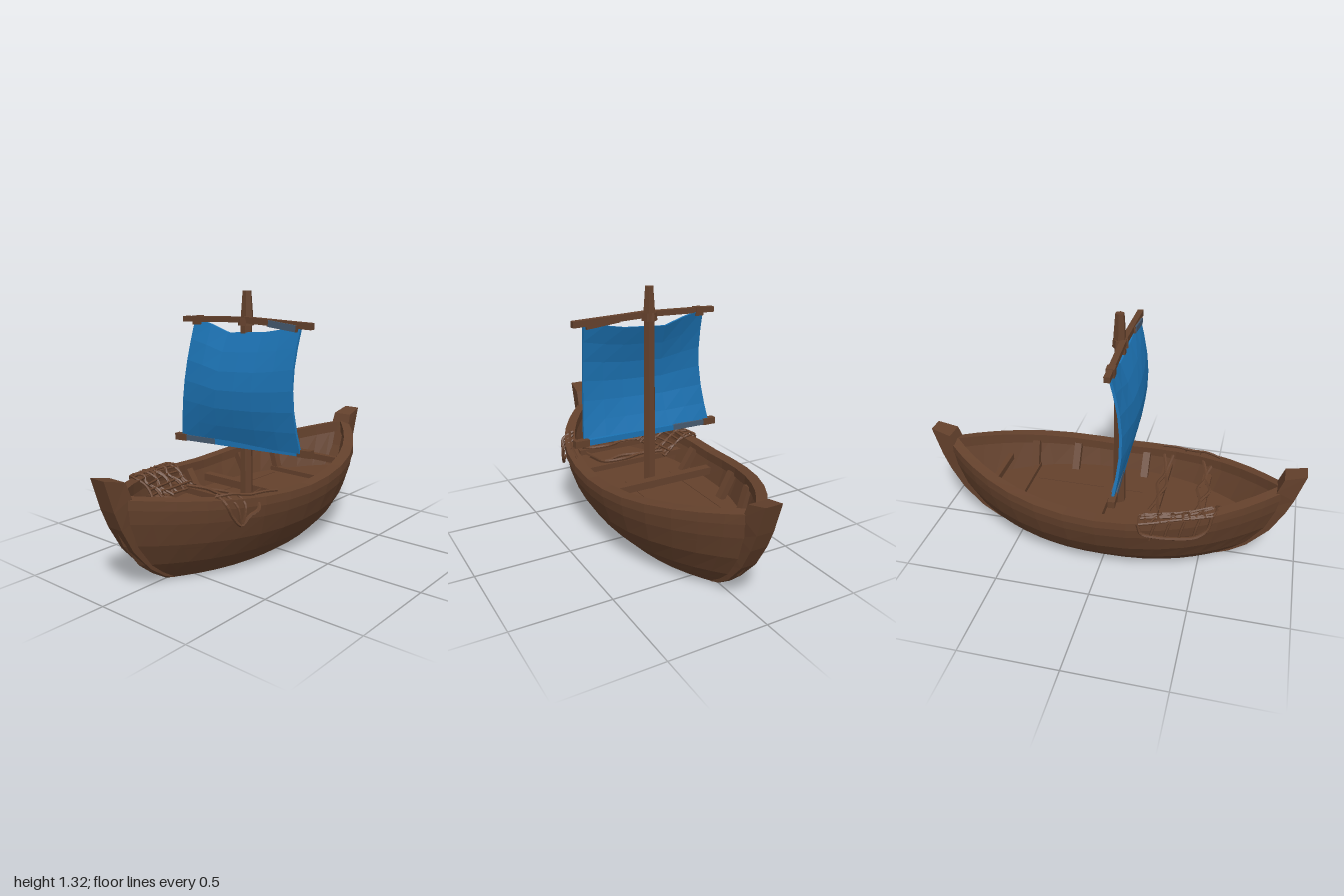
import * as THREE from 'three';

const wood = new THREE.MeshStandardMaterial({ color: 0x64412c });
wood.name = 'brown wood';
const cloth = new THREE.MeshStandardMaterial({ color: 0x1c73b4, side: THREE.DoubleSide });
cloth.name = 'blue cloth';
const stained = new THREE.MeshStandardMaterial({ color: 0x465a70 });
stained.name = 'stained cloth';

const V = (x, y, z) => new THREE.Vector3(x, y, z);

// Faceted mesh: every face gets its own normal
function facet(name, geo, mat = wood) {
  const g = geo.index ? geo.toNonIndexed() : geo;
  g.computeVertexNormals();
  const m = new THREE.Mesh(g, mat);
  m.name = name;
  return m;
}

// Surface patch from a rule (u, v in 0..1) => Vector3
function patch(nu, nv, fn) {
  const g = new THREE.PlaneGeometry(1, 1, nu, nv);
  const p = g.attributes.position;
  for (let i = 0; i < p.count; i++) {
    const q = fn(p.getX(i) + 0.5, p.getY(i) + 0.5);
    p.setXYZ(i, q.x, q.y, q.z);
  }
  return g;
}

// Square beam between two points
function beam(name, a, b, w, h, mat = wood) {
  const m = facet(name, new THREE.BoxGeometry(w, h, a.distanceTo(b)), mat);
  m.position.copy(a).add(b).multiplyScalar(0.5);
  m.lookAt(b);
  return m;
}

function rope(name, pts, r = 0.007) {
  const curve = new THREE.CatmullRomCurve3(pts);
  return facet(name, new THREE.TubeGeometry(curve, pts.length * 4, r, 5));
}

// Hull form: sheer height and plan outline along u = -1..1
const sheer = (u) => 0.385 + (u > 0 ? 0.118 : 0.085) * Math.pow(Math.abs(u), 1.5);
const plan = (u) => 1 - Math.pow(Math.abs(u), 2.4);
const FLOOR = 0.24;
// Half section: [share of sheer height, half length, half width], keel to rail to floor
const section = [
  [0, 0.62, 0], [0, 0.62, 0.18], [0.12, 0.71, 0.23], [0.25, 0.785, 0.28], [0.5, 0.872, 0.343],
  [0.75, 0.92, 0.378], [0.9, 0.935, 0.388], [0.9, 0.938, 0.395], [1, 0.94, 0.392],
  [1, 0.87, 0.33], [0.88, 0.87, 0.33], [0.88, 0.885, 0.345], [null, 0.82, 0.315], [null, 0.82, 0],
];
function hullPoint(u, k, side) {
  const i = Math.min(Math.floor(k), section.length - 2), f = k - i;
  const at = ([t, len, w]) => V(len * u, t === null ? FLOOR : t * sheer(u), side * w * plan(u));
  return at(section[i]).lerp(at(section[i + 1]), f);
}
const railZ = (x) => 0.39 * plan(x / 0.94);
const railY = (x) => sheer(x / 0.94);

function addHull(boat) {
  for (const side of [1, -1]) {
    const n = section.length - 1;
    const geo = patch(18, n, (a, b) =>
      hullPoint(side * Math.sin((a - 0.5) * Math.PI), Math.round(b * n), side));
    boat.add(facet('hullHalf', geo));
    // Raised splinters along the planks: [start, end, section position]
    for (const [u0, u1, k] of [[-0.25, 0.05, 5.4], [0.1, 0.42, 5.5], [-0.6, -0.42, 4.5],
      [-0.4, -0.18, 3.2], [0.35, 0.6, 3.6], [0.6, 0.78, 4.7], [-0.8, -0.68, 3.8]]) {
      const splinter = patch(6, 1, (a, b) => {
        const taper = (b - 0.5) * 0.09 * Math.sin(Math.PI * a);
        const p = hullPoint((u0 + u1) / 2 + side * (u1 - u0) * (a - 0.5), k + taper, side);
        p.z += side * 0.004;
        return p;
      });
      boat.add(facet('plankSplinter', splinter));
    }
  }
}

// Curved end post: rings of [outer x, outer y, inner x, inner y, outer half width, inner half width]
function addPost(boat, dir, name) {
  const rings = [
    [0.5, 0, 0.5, 0.04, 0.02, 0.02], [0.59, 0, 0.57, 0.05, 0.024, 0.024],
    [0.655, 0.03, 0.62, 0.08, 0.028, 0.028], [0.745, 0.095, 0.7, 0.15, 0.034, 0.036],
    [0.848, 0.21, 0.78, 0.25, 0.04, 0.044], [0.915, 0.33, 0.83, 0.36, 0.044, 0.05],
    [0.952, 0.42, 0.865, 0.47, 0.045, 0.058], [1, 0.572, 0.893, 0.545, 0.044, 0.054],
  ];
  const corner = (r, c) => {
    const outer = c % 4 === 0 || c % 4 === 3;
    return V(dir * (outer ? r[0] : r[2]), outer ? r[1] : r[3],
      (c % 4 < 2 ? 1 : -1) * dir * (outer ? r[4] : r[5]));
  };
  const n = rings.length - 1;
  const body = patch(4, n, (a, b) => corner(rings[Math.round(b * n)], Math.round((1 - a) * 4)));
  const top = rings[n];
  const lid = patch(1, 1, (a, b) => V(dir * (b > 0.5 ? top[0] : top[2]), b > 0.5 ? top[1] : top[3],
    (a > 0.5 ? 1 : -1) * dir * (b > 0.5 ? top[4] : top[5])));
  boat.add(facet(name, body), facet(name + 'Top', lid));
}

function addInterior(boat) {
  // Benches and floor beams, kept inside the hull walls: [x, y, width, height]
  for (const [x, y, w, h] of [[0.63, 0.33, 0.03, 0.035], [0.49, 0.25, 0.03, 0.03], [0.02, 0.29, 0.045, 0.04],
    [-0.26, 0.31, 0.045, 0.03], [-0.49, 0.32, 0.045, 0.03]]) {
    const z = 0.325 * plan((Math.abs(x) + w / 2) / 0.84);
    boat.add(beam('crossBeam', V(x, y, -z), V(x, y, z), w, h));
  }
  // Ribs against the walls
  for (const x of [0.27, 0.5, -0.13]) for (const s of [1, -1]) {
    const z = railZ(x);
    boat.add(beam('rib', V(x, FLOOR, s * z * 0.64), V(x, railY(x) - 0.03, s * (z - 0.06)), 0.04, 0.035));
  }
  // Raised seams between the floor planks
  for (const z of [-0.18, 0.1]) {
    const seam = facet('floorSeam', new THREE.BoxGeometry(0.6, 0.004, 0.005));
    seam.position.set(0.15, FLOOR + 0.001, z);
    boat.add(seam);
  }
}

function addRig(boat) {
  const mast = facet('mast', new THREE.CylinderGeometry(0.03, 0.034, 0.92, 6));
  mast.position.set(-0.04, 0.69, 0.01);
  const cap = facet('mastTop', new THREE.CylinderGeometry(0.023, 0.036, 0.17, 6));
  cap.position.set(-0.036, 1.233, 0.012);
  const collar = facet('mastLashing', new THREE.CylinderGeometry(0.038, 0.042, 0.04, 7));
  collar.position.set(-0.042, 1.168, 0.01);
  boat.add(mast, cap, collar);

  // Yards; the lower one shows only its bound ends, the rest is rolled in the sail foot
  boat.add(beam('upperYard', V(-0.055, 1.165, 0.42), V(-0.058, 1.177, 0), 0.03, 0.032));
  boat.add(beam('upperYard', V(-0.058, 1.177, 0), V(-0.07, 1.163, -0.385), 0.03, 0.028));
  const a = V(-0.055, 0.557, 0.43), b = V(-0.1, 0.527, -0.43);
  const along = (t) => a.clone().lerp(b, t);
  boat.add(beam('yardEnd', a, along(0.09), 0.035, 0.036));
  boat.add(beam('yardEnd', along(0.91), b, 0.035, 0.036));
  boat.add(beam('sailFoot', along(0.08), along(0.68), 0.03, 0.03, cloth));
  boat.add(beam('sailFootStained', along(0.68), along(0.92), 0.03, 0.03, stained));

  // Billowing sail with a scalloped head; depth 0 is its outer face, 1 its inner face
  const sheet = (u, v, depth) => {
    const near = 0.375 - 0.013 * v - 0.018 * Math.sin(Math.PI * v);
    const far = -0.39 + 0.075 * v + 0.015 * Math.sin(Math.PI * v);
    const belly = Math.sin(Math.PI * v), mid = Math.sin(Math.PI * u);
    const foot = 0.525 + 0.03 * u;
    const head = 1.17 - 0.055 * mid - (Math.abs(u - 1 / 3) < 0.01 ? 0.015 : 0);
    const x = -0.064 - 0.012 * (1 - v) - 0.025 * (1 - u) * (1 - v) - belly * (0.048 + 0.022 * mid);
    return V(x + depth * 0.014, foot + (head - foot) * v, far + (near - far) * u);
  };
  const faces = patch(14, 6, (s, v) => {
    const i = Math.round(s * 14) % 14;
    return i < 7 ? sheet(i / 6, v, 0) : sheet((13 - i) / 6, v, 1);
  });
  boat.add(facet('sail', faces, cloth));
  boat.add(facet('sailHead', patch(6, 1, (u, d) => sheet(u, 1, d)), cloth));
  // Lashings holding the head of the sail
  boat.add(beam('sailLashing', V(-0.06, 1.15, 0.35), V(-0.06, 1.168, 0.17), 0.038, 0.03));
  boat.add(beam('lashingCloth', V(-0.079, 1.152, 0.34), V(-0.079, 1.168, 0.18), 0.008, 0.032, stained));
  boat.add(beam('sailLashing', V(-0.066, 1.162, -0.27), V(-0.068, 1.16, -0.315), 0.04, 0.045));
}

// Rope net thrown over the rail
function addNet(boat) {
  const net = new THREE.Group();
  net.name = 'ropeNet';
  // Drape position: d from the top of the far rail (0) to inside the hull (1)
  const drape = (x, d) => {
    const w = 0.01 * Math.sin(x * 60 + d * 9);
    return V(x + w, railY(x) + 0.01 - Math.max(0, d - 0.3) * 0.13, -railZ(x) - 0.008 + d * 0.19 + w);
  };
  for (let i = 0; i <= 10; i++) {
    const x = -0.57 + i * 0.035;
    net.add(rope('netRope', [0, 0.25, 0.5, 0.75, 1].map((d) => drape(x + 0.03 * d * (i % 2 ? 1 : -1), d)), 0.007));
  }
  for (const d of [0, 0.17, 0.34, 0.5, 0.67, 0.83, 1]) {
    net.add(rope('netRope', [-0.57, -0.48, -0.4, -0.31, -0.22].map((x) => drape(x, d)), 0.007));
  }
  // Long strands across the benches
  for (const [x, k] of [[-0.5, 0.02], [-0.47, -0.015], [-0.25, -0.012], [-0.275, 0.012]]) {
    net.add(rope('netStrand', [-0.18, -0.06, 0.06, 0.18, 0.27].map((z, i) =>
      V(x + (i % 2 ? k : -k), 0.338 + (i === 4 ? 0.06 : 0), z)), 0.009));
  }
  // Loops hanging outside the rails: side 1 is near, -1 is far
  const hang = (side, x, drop, out = 0.012) => V(x, railY(x) - drop, side * (railZ(x) + out));
  const loop = (side, pts, r) => net.add(rope('netLoop', pts.map((p) => hang(side, ...p)), r));
  loop(1, [[-0.53, -0.015, -0.05], [-0.53, 0.02], [-0.5, 0.08], [-0.46, 0.12], [-0.42, 0.08],
    [-0.37, 0.05], [-0.35, -0.015, -0.04]], 0.009);
  loop(1, [[-0.49, -0.015, -0.05], [-0.48, 0.03], [-0.46, 0.12], [-0.44, 0.03], [-0.43, -0.015, -0.05]], 0.007);
  loop(1, [[-0.55, -0.01, -0.03], [-0.47, -0.02, -0.03], [-0.39, -0.01, -0.03], [-0.3, -0.015, -0.03],
    [-0.22, -0.01, -0.03]], 0.007);
  loop(-1, [[-0.57, -0.01], [-0.55, 0.07], [-0.5, 0.1], [-0.4, 0.09], [-0.3, 0.07], [-0.24, 0.05], [-0.22, -0.01]], 0.009);
  for (const x of [-0.5, -0.43, -0.36, -0.29]) {
    loop(-1, [[x - 0.015, -0.01], [x, 0.04], [x + 0.01, 0.09, 0.008]], 0.007);
  }
  boat.add(net);
}

export function createModel() {
  const boat = new THREE.Group();
  boat.name = 'sailingBoat';
  addHull(boat);
  addPost(boat, 1, 'bowPost');
  addPost(boat, -1, 'sternPost');
  addInterior(boat);
  addRig(boat);
  addNet(boat);
  return boat;
}
